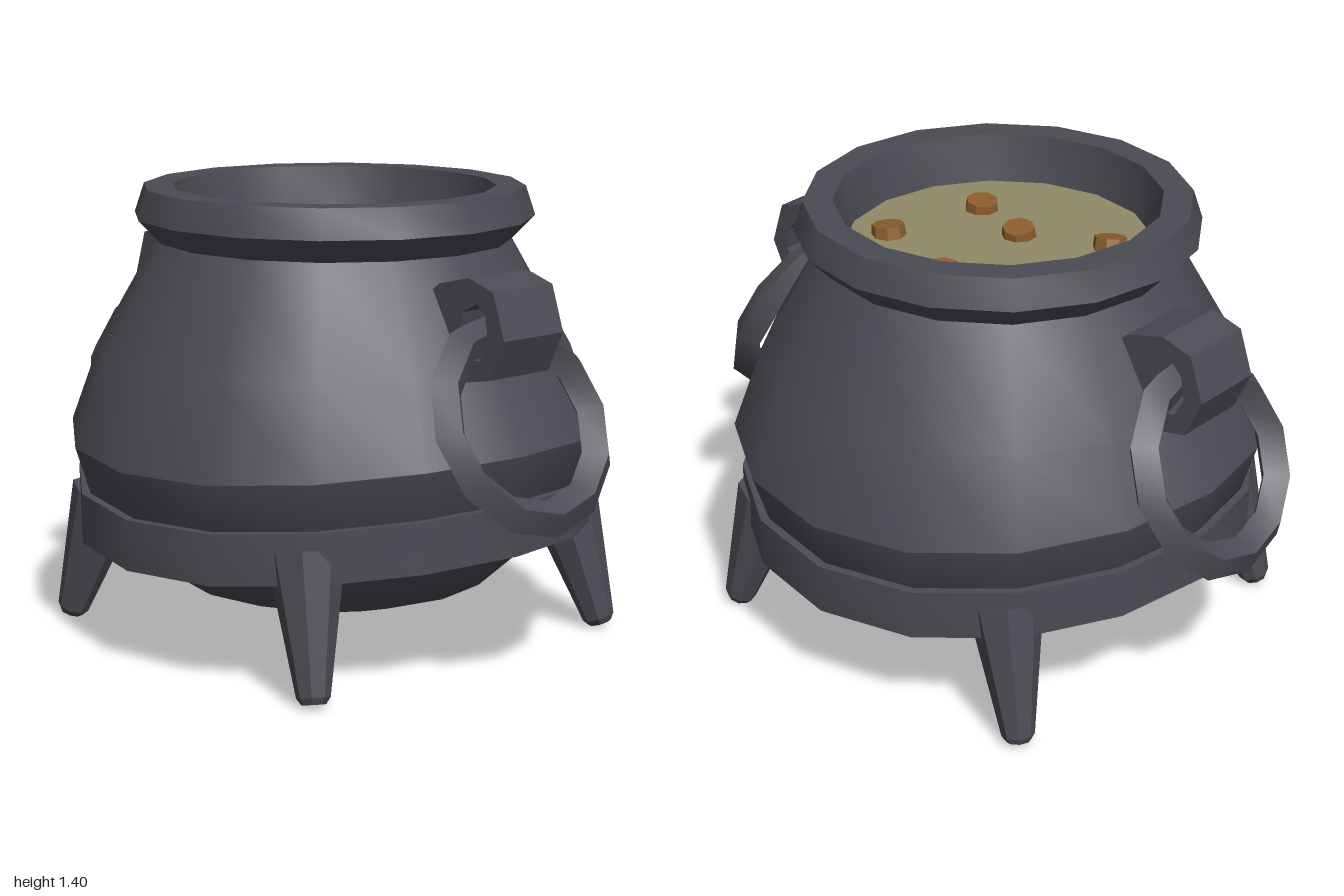
import * as THREE from 'three';
import { toCreasedNormals } from 'three/addons/utils/BufferGeometryUtils.js';

const iron = new THREE.MeshStandardMaterial({ color: 0x4b4b54 });
iron.name = 'iron';
const broth = new THREE.MeshStandardMaterial({ color: 0x918a68 });
broth.name = 'broth';
const chunk = new THREE.MeshStandardMaterial({ color: 0x8c5d2e });
chunk.name = 'chunk';

function part(name, geometry, material, crease = 0.5) {
  const mesh = new THREE.Mesh(toCreasedNormals(geometry, crease), material);
  mesh.name = name;
  return mesh;
}

// Lathe from [radius, y, sag]; each row dips by its sag towards front and back
function saggedLathe(rows, segments = 16) {
  const g = new THREE.LatheGeometry(rows.map(([r, y]) => new THREE.Vector2(r, y)), segments);
  const p = g.attributes.position;
  for (let i = 0; i < p.count; i++) {
    const [r, y, sag = 0] = rows[i % rows.length];
    if (r > 0) p.setY(i, y - sag * (p.getZ(i) / r) ** 2);
  }
  return g;
}

// Wide curled lug with a loose ring hanging from it, on the +x side
function createHandle(name) {
  const handle = new THREE.Group();
  handle.name = name;

  const pts = (list) => list.map(([x, y]) => new THREE.Vector2(x, y));
  const shape = new THREE.Shape(pts([
    [0.64, 0.96], [0.71, 0.9], [0.81, 0.92], [0.866, 1.04],
    [0.82, 1.175], [0.72, 1.205], [0.6, 1.175], [0.54, 1.13],
  ]));
  shape.holes.push(new THREE.Path(pts([
    [0.68, 1.03], [0.7, 1.105], [0.757, 1.135], [0.79, 1.1], [0.802, 1.03], [0.77, 0.97], [0.71, 0.97],
  ])));
  const lug = new THREE.ExtrudeGeometry(shape, { depth: 0.24, bevelEnabled: false });
  lug.translate(0, 0, -0.12);
  handle.add(part('handleLug', lug, iron, 0.3));

  const ring = new THREE.TorusGeometry(0.287, 0.056, 4, 12);
  ring.rotateY(Math.PI / 2);
  ring.rotateZ(0.445);
  ring.translate(0.826, 0.78, 0);
  handle.add(part('handleRing', ring, iron, 0.6));
  return handle;
}

// Tapered leg leaning outwards, with a bevelled foot
function createLeg(sx, sz) {
  const foot = new THREE.Vector3(0.6 * sx, 0.008, 0.6 * sz);
  const top = new THREE.Vector3(0.485 * sx, 0.42, 0.53 * sz);
  const axis = top.clone().sub(foot);
  const length = axis.length();
  const profile = [[0, 0], [0.036, 0], [0.05, 0.02], [0.115, length], [0, length]];
  const g = new THREE.LatheGeometry(profile.map(([r, y]) => new THREE.Vector2(r, y)), 8);
  g.applyQuaternion(new THREE.Quaternion().setFromUnitVectors(new THREE.Vector3(0, 1, 0), axis.normalize()));
  g.translate(foot.x, foot.y, foot.z);
  return part('leg', g, iron, 0.4);
}

export function createModel() {
  const model = new THREE.Group();
  model.name = 'cauldron';

  // Pot wall, lip and inside
  model.add(part('pot', saggedLathe([
    [0, 0.095], [0.28, 0.108], [0.5, 0.18], [0.65, 0.32, 0.02], [0.785, 0.53, 0.06],
    [0.83, 0.683, 0.067], [0.735, 0.915, 0.01], [0.55, 1.237],
    [0.62, 1.31], [0.59, 1.4], [0.5, 1.4], [0.47, 1.24],
  ]), iron));

  // Belt around the lower pot
  model.add(part('belt', saggedLathe([
    [0.68, 0.38, 0.065], [0.812, 0.38, 0.065], [0.812, 0.535, 0.065], [0.72, 0.535, 0.065],
  ]), iron));

  // Broth surface with floating chunks
  const surface = new THREE.CircleGeometry(0.48, 16);
  surface.rotateX(-Math.PI / 2);
  surface.translate(0, 1.25, 0);
  model.add(part('broth', surface, broth));

  const spots = [[-0.04, -0.29], [0.29, -0.18], [-0.3, -0.14], [-0.02, 0.07], [-0.28, 0.19], [0.2, 0.15]];
  spots.forEach(([x, z], i) => {
    const piece = part('chunk', new THREE.CylinderGeometry(0.05, 0.056, 0.05, 8), chunk);
    piece.position.set(x, 1.257, z);
    piece.rotation.set(0.15 * Math.sin(i * 2), i * 0.7, 0.15 * Math.cos(i * 3));
    model.add(piece);
  });

  // Handles on both sides
  const right = createHandle('rightHandle');
  right.rotation.y = Math.PI;
  model.add(createHandle('leftHandle'), right);

  // Four legs
  for (const sx of [-1, 1]) for (const sz of [-1, 1]) model.add(createLeg(sx, sz));

  return model;
}
